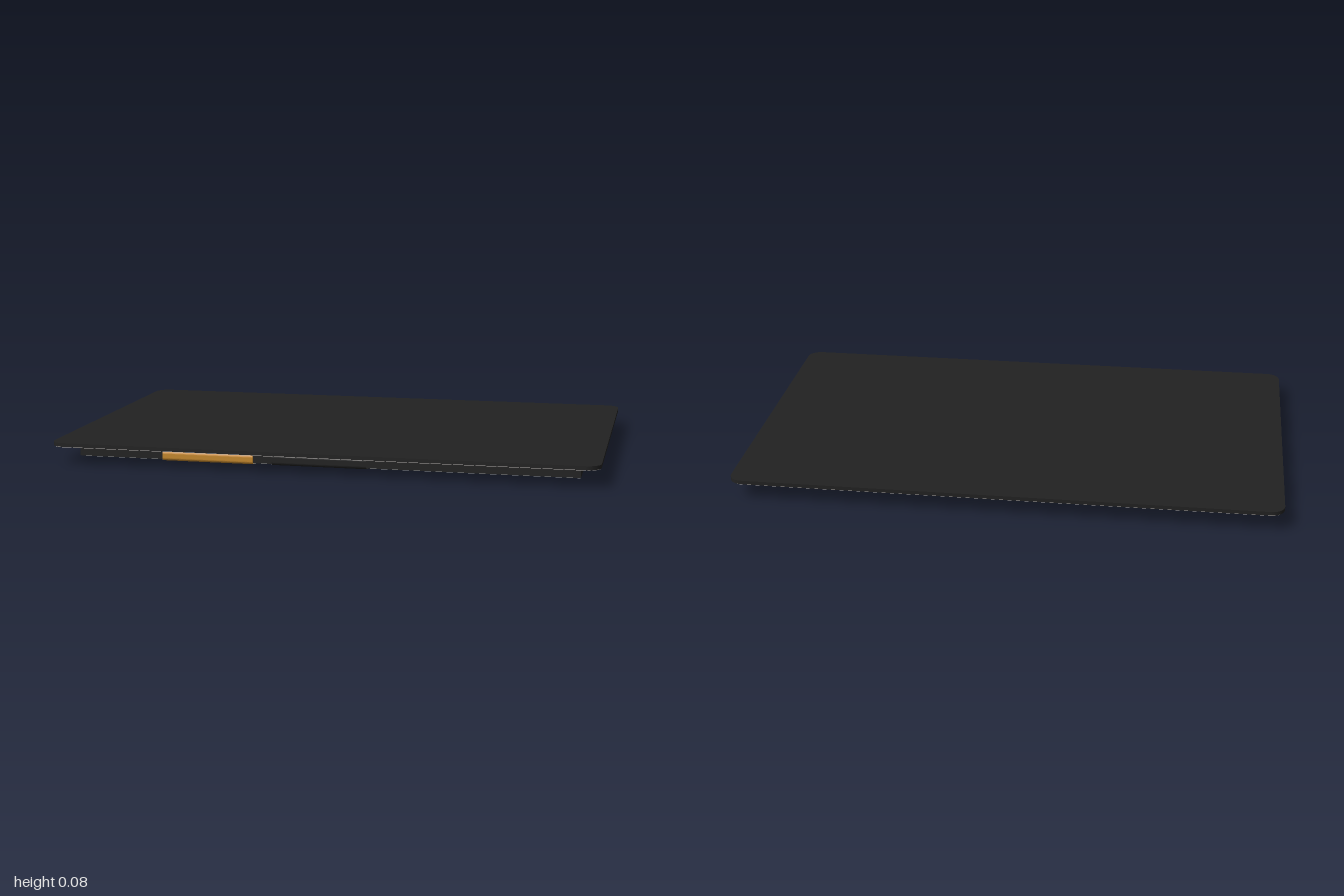
import * as THREE from 'three';

const mat = (name, color) => {
  const m = new THREE.MeshStandardMaterial({ color });
  m.name = name;
  return m;
};

export function createModel() {
  const group = new THREE.Group();
  const black = mat('black', 0x222222);
  const steel = mat('steel grey', 0x9c9ea1);
  const border = mat('border grey', 0xc2bdba);
  const amber = mat('amber flex', 0xc88a2e);
  const white = mat('connector grey', 0xcfcdd2);

  const add = (name, geometry, material) => {
    const mesh = new THREE.Mesh(geometry, material);
    mesh.name = name;
    group.add(mesh);
    return mesh;
  };
  // Box given by its limits on each axis
  const box = (name, material, [x0, x1], [y0, y1], [z0, z1]) => {
    const g = new THREE.BoxGeometry(x1 - x0, y1 - y0, z1 - z0);
    g.translate((x0 + x1) / 2, (y0 + y1) / 2, (z0 + z1) / 2);
    return add(name, g, material);
  };
  // Flat plate cut from an outline in x and z
  const plate = (name, material, shape, y0, y1) => {
    const g = new THREE.ExtrudeGeometry(shape, { depth: y1 - y0, bevelEnabled: false, curveSegments: 10 });
    g.rotateX(Math.PI / 2);
    g.translate(0, y1, 0);
    return add(name, g, material);
  };
  const roundedRect = (w, h, r) => {
    const s = new THREE.Shape();
    s.absarc(w - r, h - r, r, 0, Math.PI / 2);
    s.absarc(-w + r, h - r, r, Math.PI / 2, Math.PI);
    s.absarc(-w + r, -h + r, r, Math.PI, Math.PI * 1.5);
    s.absarc(w - r, -h + r, r, Math.PI * 1.5, Math.PI * 2);
    return s;
  };
  const outline = (points) => new THREE.Shape(points.map(([x, z]) => new THREE.Vector2(x, z)));

  // Cover glass with a pale printed underside
  plate('coverGlass', black, roundedRect(1, 0.617, 0.05), 0.067, 0.081);
  plate('glassUnderside', border, roundedRect(0.998, 0.615, 0.049), 0.065, 0.067);

  // Display module: pale upper layer, black frame, steel back
  box('displayLayer', steel, [-0.9, 0.93], [0.056, 0.065], [-0.515, 0.568]);
  box('displayFrame', black, [-0.9, 0.93], [0.028, 0.056], [-0.515, 0.568]);
  box('backPlate', steel, [-0.898, 0.928], [0.0265, 0.028], [-0.513, 0.566]);

  // Flex strip folding around the front edge, from underside to top
  const fold = (name, material, x0, x1, zEdge, yTop) => {
    const t = 0.003, yLow = 0.0235, r = 0.012, zIn = 0.53;
    const s = new THREE.Shape();
    s.moveTo(zIn, yLow);
    s.lineTo(zEdge - r, yLow);
    s.absarc(zEdge - r, yLow + r, r, -Math.PI / 2, 0);
    s.absarc(zEdge - r, yTop - r, r, 0, Math.PI / 2);
    s.lineTo(zEdge - r, yTop - t);
    s.absarc(zEdge - r, yTop - r, r - t, Math.PI / 2, 0, true);
    s.absarc(zEdge - r, yLow + r, r - t, 0, -Math.PI / 2, true);
    s.lineTo(zIn, yLow + t);
    const g = new THREE.ExtrudeGeometry(s, { depth: x1 - x0, bevelEnabled: false, curveSegments: 6 });
    g.rotateY(-Math.PI / 2);
    g.translate(x1, 0, 0);
    add(name, g, material);
  };

  // Main driver board and its fold
  plate('driverBoard', black, outline([
    [-0.17, 0.105], [0.39, 0.105], [0.39, 0.412], [0.18, 0.412], [0.18, 0.56], [-0.17, 0.56],
  ]), 0.0235, 0.0265);
  fold('driverFold', black, -0.17, 0.175, 0.574, 0.064);

  // Main connector: amber pad and open housing with contact bar
  box('connectorPad', amber, [-0.06, 0.27], [0.0225, 0.0235], [0.125, 0.195]);
  const housing = outline([[-0.02, 0.13], [0.235, 0.13], [0.235, 0.168], [-0.02, 0.168]]);
  housing.holes.push(new THREE.Path([[-0.008, 0.139], [-0.008, 0.159], [0.223, 0.159], [0.223, 0.139]]
    .map(([x, z]) => new THREE.Vector2(x, z))));
  plate('connectorHousing', white, housing, 0, 0.0225);
  box('connectorSlot', black, [-0.008, 0.223], [0.014, 0.0225], [0.139, 0.159]);
  box('connectorLatch', white, [-0.02, 0.235], [0.012, 0.0225], [0.168, 0.175]);

  // Touch flex: wide foot, neck, and tail running to the small connector
  plate('touchFlex', amber, outline([
    [-0.58, 0.56], [-0.58, 0.5], [-0.43, 0.5], [-0.43, 0.3], [-0.13, 0.3],
    [-0.13, 0.335], [-0.3, 0.335], [-0.3, 0.5], [-0.24, 0.5], [-0.24, 0.56],
  ]), 0.0225, 0.0255);
  fold('touchFold', amber, -0.58, -0.24, 0.577, 0.06);
  box('touchChipCover', black, [-0.445, -0.28], [0.0205, 0.0225], [0.295, 0.41]);

  // Small touch connector
  box('touchConnector', black, [-0.165, -0.132], [0.015, 0.0235], [0.275, 0.325]);
  box('touchConnectorFace', white, [-0.161, -0.136], [0.0135, 0.015], [0.281, 0.319]);

  return group;
}
